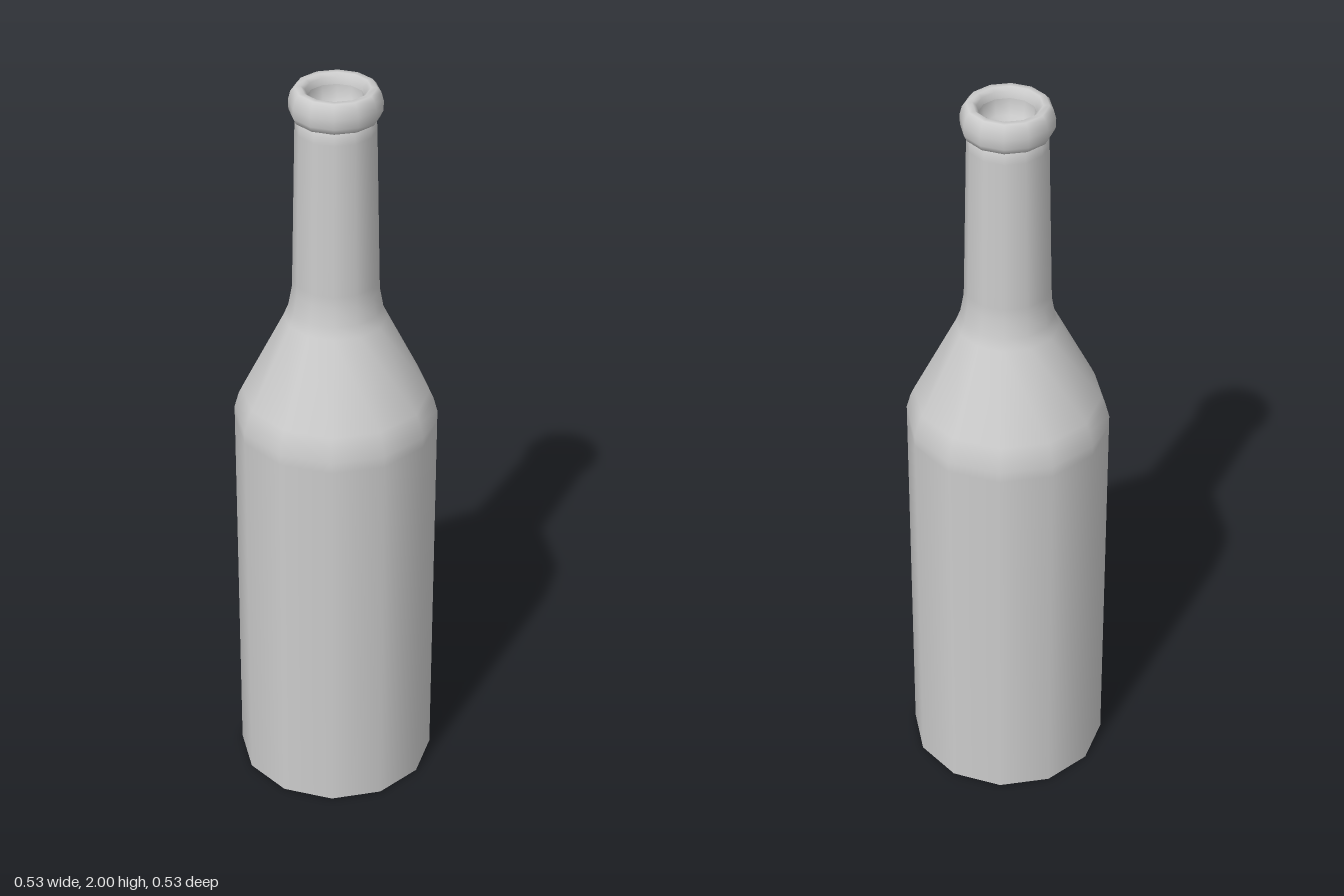
import * as THREE from 'three';

const SIDES = 12;

// Turn a profile of [radius, height] points; order runs up the outside
function turned(name, profile) {
  const points = profile.map(([r, y]) => new THREE.Vector2(r, y));
  const material = new THREE.MeshStandardMaterial({ color: 0xcccccc, side: THREE.DoubleSide });
  const mesh = new THREE.Mesh(new THREE.LatheGeometry(points, SIDES), material);
  mesh.name = name;
  return mesh;
}

export function createModel() {
  const bottle = new THREE.Group();
  bottle.name = 'bottle';

  // Hollowed underside
  bottle.add(turned('base', [[0, 0.08], [0.13, 0.05], [0.263, 0]]));

  // Straight wall, with a support ring below the shoulder
  bottle.add(turned('body', [
    [0.263, 0], [0.263, 1.06], [0.263, 1.09], [0.252, 1.13],
    [0.242, 1.152], [0.132, 1.37], [0.12, 1.4], [0.111, 1.45],
    [0.11, 1.48], [0.101, 1.89], [0.1, 1.91], [0.094, 1.922],
  ]));

  // Rounded lip around the mouth
  bottle.add(turned('lip', [
    [0.094, 1.922], [0.108, 1.925], [0.115, 1.94], [0.116, 1.965],
    [0.11, 1.988], [0.1, 2], [0.085, 2], [0.075, 1.992], [0.071, 1.975],
  ]));

  // Tapering inside of the mouth
  bottle.add(turned('throat', [[0.071, 1.975], [0.068, 1.93], [0, 1.85]]));

  return bottle;
}
